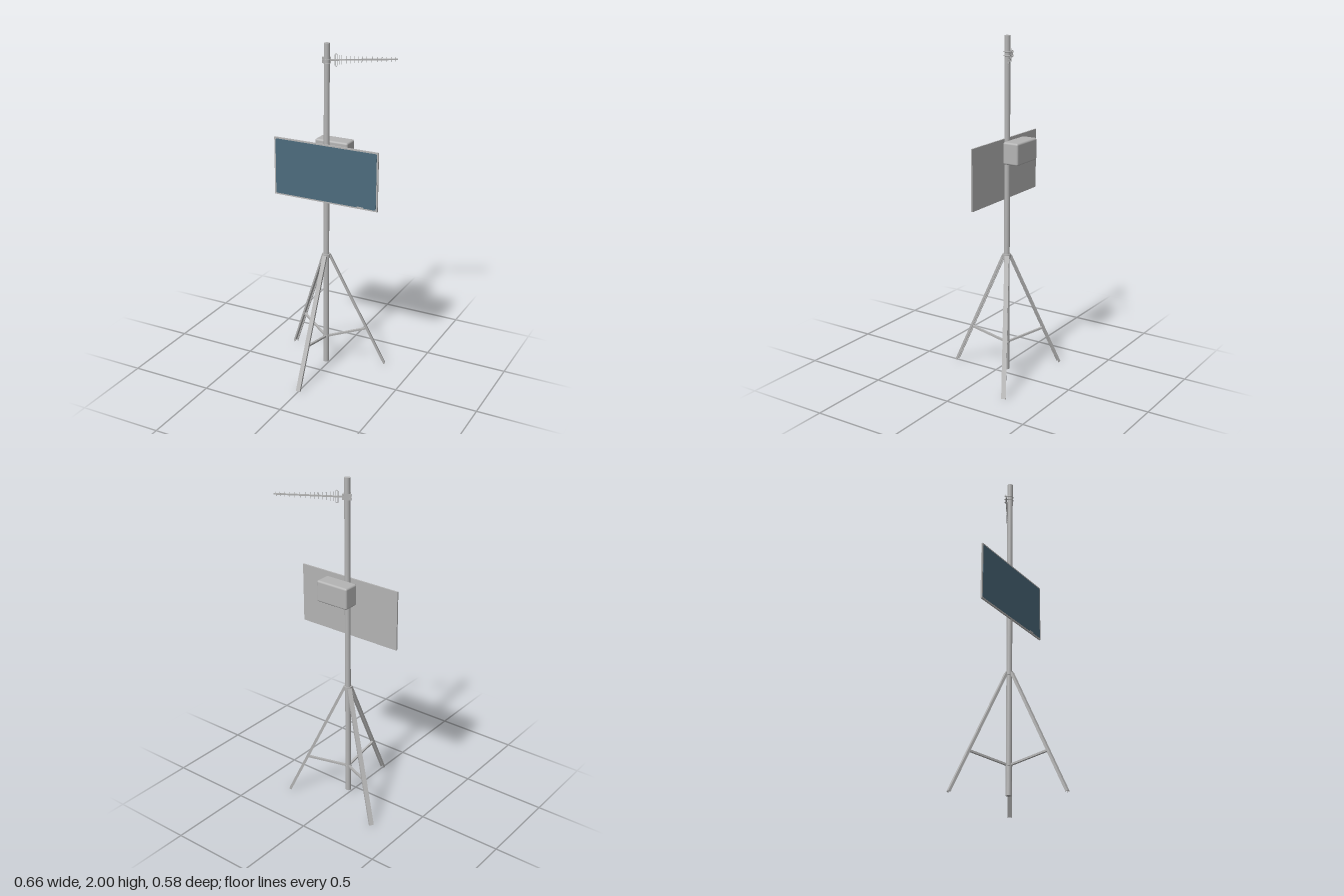
import * as THREE from 'three';
import { RoundedBoxGeometry } from 'three/addons/geometries/RoundedBoxGeometry.js';

const POLE_Z = -0.075;

export function createModel() {
  const model = new THREE.Group();
  model.name = 'mastWithPanel';

  const mat = (name, color) => {
    const m = new THREE.MeshStandardMaterial({ color });
    m.name = name;
    return m;
  };
  const metal = mat('greyMetal', 0xb4b4b4);
  const glass = mat('blueGlass', 0x4c6b7d);

  const add = (parent, name, geometry, material, x = 0, y = 0, z = 0) => {
    const mesh = new THREE.Mesh(geometry, material);
    mesh.name = name;
    mesh.position.set(x, y, z);
    parent.add(mesh);
    return mesh;
  };

  // Rounded rectangle centred on the origin
  const roundedRect = (w, h, r) => {
    const s = new THREE.Shape();
    s.absarc(w / 2 - r, h / 2 - r, r, 0, Math.PI / 2);
    s.absarc(-w / 2 + r, h / 2 - r, r, Math.PI / 2, Math.PI);
    s.absarc(-w / 2 + r, -h / 2 + r, r, Math.PI, Math.PI * 1.5);
    s.absarc(w / 2 - r, -h / 2 + r, r, Math.PI * 1.5, Math.PI * 2);
    return s;
  };

  // Mast, with collars where the legs and braces meet it
  const mast = new THREE.Group();
  mast.name = 'mast';
  mast.position.z = POLE_Z;
  model.add(mast);
  add(mast, 'pole', new THREE.CylinderGeometry(0.0165, 0.0165, 1.97, 32), metal, 0, 1.015, 0);
  add(mast, 'legCollar', new THREE.CylinderGeometry(0.024, 0.024, 0.022, 32), metal, 0, 0.738, 0);
  add(mast, 'braceCollar', new THREE.CylinderGeometry(0.019, 0.019, 0.014, 32), metal, 0, 0.203, 0);

  // Tripod: three open channel legs, each with a brace to the mast
  const channel = new THREE.Shape([
    [-0.013, -0.007], [-0.010, -0.007], [-0.010, 0.004], [0.010, 0.004],
    [0.010, -0.007], [0.013, -0.007], [0.013, 0.007], [-0.013, 0.007],
  ].map(([x, y]) => new THREE.Vector2(x, y)));
  const legTop = new THREE.Vector3(0, 0.74, 0.019);
  const legFoot = new THREE.Vector3(0, 0.004, 0.358);
  const braceIn = new THREE.Vector3(0, 0.203, 0.014);
  const braceOut = new THREE.Vector3(0, 0.247, 0.245);
  const legGeometry = new THREE.ExtrudeGeometry(channel, { depth: legTop.distanceTo(legFoot), bevelEnabled: false });
  const braceGeometry = new THREE.BoxGeometry(0.013, 0.011, braceIn.distanceTo(braceOut));
  for (const [i, side] of ['front', 'left', 'right'].entries()) {
    const support = new THREE.Group();
    support.name = side + 'Support';
    const leg = new THREE.Mesh(legGeometry, metal);
    leg.name = side + 'Leg';
    leg.position.copy(legTop);
    leg.lookAt(legFoot);
    const brace = new THREE.Mesh(braceGeometry, metal);
    brace.name = side + 'Brace';
    brace.position.copy(braceIn).lerp(braceOut, 0.5);
    brace.lookAt(braceOut);
    support.add(leg, brace);
    support.rotation.y = i * Math.PI * 2 / 3;
    support.position.z = POLE_Z;
    model.add(support);
  }

  // Flat panel: slim frame, inset glass and a small tag on the lower rim
  const panel = new THREE.Group();
  panel.name = 'panel';
  panel.position.set(0, 1.25, -0.06);
  model.add(panel);
  add(panel, 'panelFrame', new THREE.BoxGeometry(0.66, 0.35, 0.009), metal);
  add(panel, 'panelGlass', new THREE.ExtrudeGeometry(roundedRect(0.642, 0.333, 0.008),
    { depth: 0.001, bevelEnabled: false }), glass, 0, 0, 0.0045);
  add(panel, 'panelTag', new THREE.BoxGeometry(0.042, 0.008, 0.002), metal, 0.222, -0.165, 0.0055);

  // Equipment box behind the mast
  add(model, 'equipmentBox', new RoundedBoxGeometry(0.207, 0.126, 0.096, 4, 0.011), metal, 0.006, 1.367, -0.164);

  // Antenna: local +x runs along the boom, the mast is at the origin
  const antenna = new THREE.Group();
  antenna.name = 'antenna';
  antenna.position.set(0, 1.9, POLE_Z);
  antenna.rotation.y = Math.PI / 6;
  model.add(antenna);
  const boomZ = -0.0225;
  add(antenna, 'boom', new THREE.BoxGeometry(0.418, 0.008, 0.008), metal, 0.183, 0, boomZ);

  // Vertical rods, shorter towards the tip
  const rods = [0.072, 0.084, 0.11, 0.131, 0.153, 0.174, 0.195, 0.222, 0.25, 0.278, 0.305, 0.332, 0.358, 0.38];
  rods.forEach((x, i) => {
    const h = i < 2 ? 0.052 : 0.046 - i * 0.0018;
    add(antenna, 'rod' + (i + 1), new THREE.CylinderGeometry(0.0014, 0.0014, h, 8), metal, x, 0, boomZ);
  });

  // Folded loop near the mast end
  const loopPoints = roundedRect(0.012, 0.07, 0.0059).getPoints(8).slice(0, -1)
    .map((p) => new THREE.Vector3(p.x, p.y, 0));
  add(antenna, 'foldedLoop', new THREE.TubeGeometry(
    new THREE.CatmullRomCurve3(loopPoints, true), 64, 0.0018, 8, true), metal, 0.052, 0, boomZ);

  // Two U-bolts around the mast and a clamp plate holding the boom
  const bolt = new THREE.CurvePath();
  const r = 0.0185;
  const boltPoints = [new THREE.Vector3(-r, 0, -0.034), new THREE.Vector3(-r, 0, -0.015)];
  for (let i = 0; i <= 10; i++) {
    const a = Math.PI - (i / 10) * Math.PI;
    boltPoints.push(new THREE.Vector3(Math.cos(a) * r, 0, Math.sin(a) * r));
  }
  boltPoints.push(new THREE.Vector3(r, 0, -0.015), new THREE.Vector3(r, 0, -0.034));
  for (let i = 1; i < boltPoints.length; i++) bolt.add(new THREE.LineCurve3(boltPoints[i - 1], boltPoints[i]));
  const boltGeometry = new THREE.TubeGeometry(bolt, 40, 0.0025, 8, false);
  for (const y of [-0.011, 0.011]) {
    add(antenna, 'uBolt', boltGeometry, metal, 0, y, 0);
    for (const x of [-r, r]) {
      const nut = add(antenna, 'nut', new THREE.CylinderGeometry(0.0045, 0.0045, 0.004, 6), metal, x, y, -0.03);
      nut.rotation.x = Math.PI / 2;
    }
  }
  add(antenna, 'clampPlate', new THREE.BoxGeometry(0.05, 0.034, 0.004), metal, 0, 0, -0.0265);

  return model;
}
